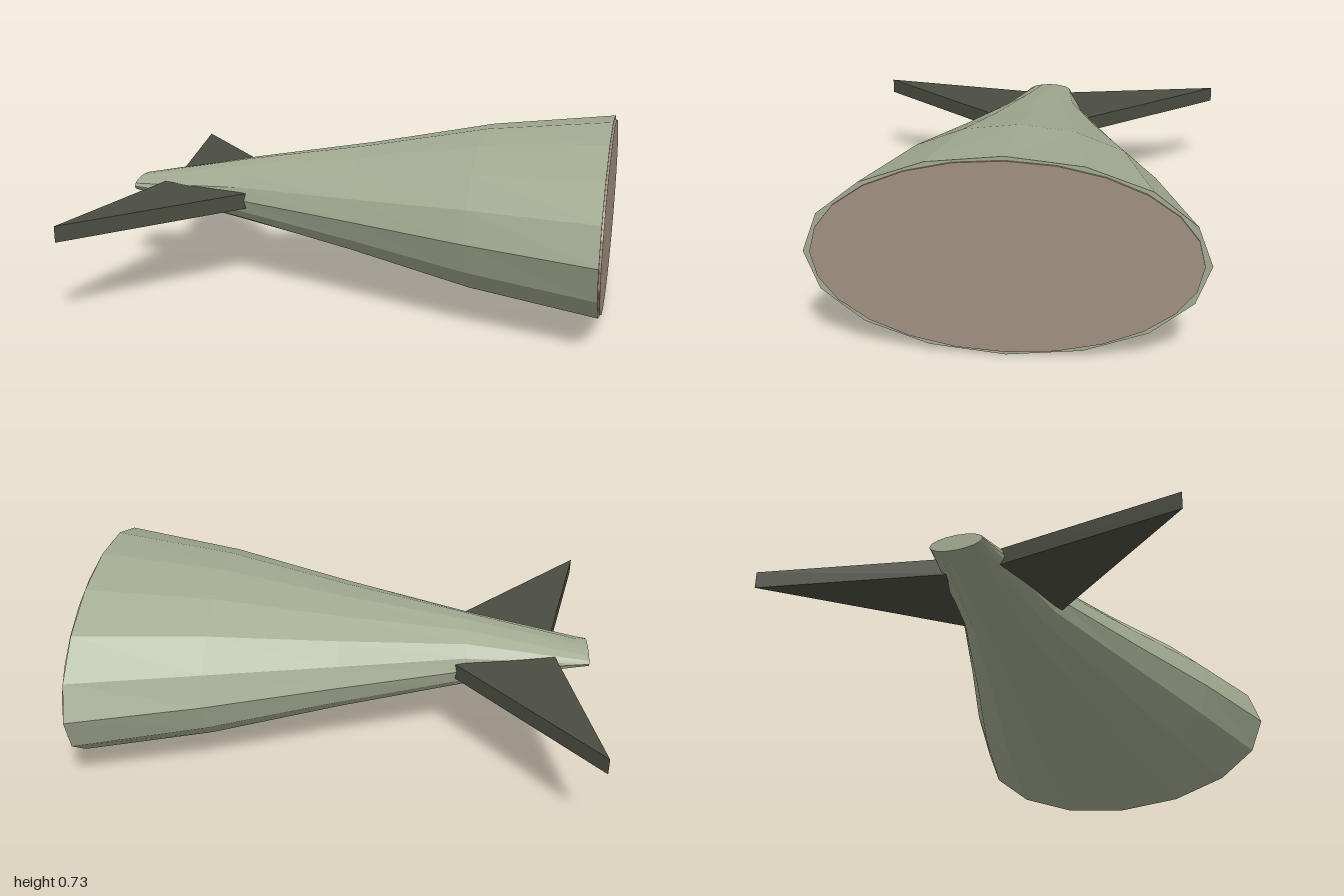
import * as THREE from 'three';

const CENTRE_Y = 0.368;
const mat = (color) => new THREE.MeshStandardMaterial({ color, flatShading: true });

// Cross-sections along the body: x, half height, half depth
const SECTIONS = [
  [-1, 0.03, 0.1],
  [-0.5, 0.13, 0.195],
  [0, 0.214, 0.367],
  [0.5, 0.313, 0.547],
  [0.992, 0.366, 0.695],
];

// Tapering elliptical body: a cylinder whose rings are refitted to the sections
function bodyGeometry() {
  const last = SECTIONS.length - 1;
  const geo = new THREE.CylinderGeometry(1, 1, last, 16, last);
  const p = geo.attributes.position;
  for (let i = 0; i < p.count; i++) {
    const [x, halfY, halfZ] = SECTIONS[Math.round(p.getY(i) + last / 2)];
    p.setXYZ(i, x, CENTRE_Y - p.getX(i) * halfY, p.getZ(i) * halfZ);
  }
  geo.computeVertexNormals();
  return geo;
}

// Swept triangular fin, a flat slab rooted inside the body
function finGeometry(side) {
  const shape = new THREE.Shape([
    new THREE.Vector2(-1, side * 0.795),
    new THREE.Vector2(-0.848, side * 0.05),
    new THREE.Vector2(-0.46, side * 0.2),
  ]);
  const geo = new THREE.ExtrudeGeometry(shape, { depth: 0.064, bevelEnabled: false });
  geo.rotateX(Math.PI / 2);
  geo.translate(0, CENTRE_Y + 0.032, 0);
  return geo;
}

export function createModel() {
  const group = new THREE.Group();
  const add = (name, geo, material) => {
    const mesh = new THREE.Mesh(geo, material);
    mesh.name = name;
    group.add(mesh);
  };

  add('body', bodyGeometry(), mat(0xa3ab92));

  const finMaterial = mat(0x4b4d41);
  add('leftFin', finGeometry(1), finMaterial);
  add('rightFin', finGeometry(-1), finMaterial);

  // Thin plate closing the wide end
  const plate = new THREE.CylinderGeometry(1, 1, 0.02, 24);
  plate.rotateZ(-Math.PI / 2);
  plate.scale(1, 0.352, 0.67);
  plate.translate(0.99, CENTRE_Y, 0);
  add('endPlate', plate, mat(0xa08f7f));

  return group;
}
